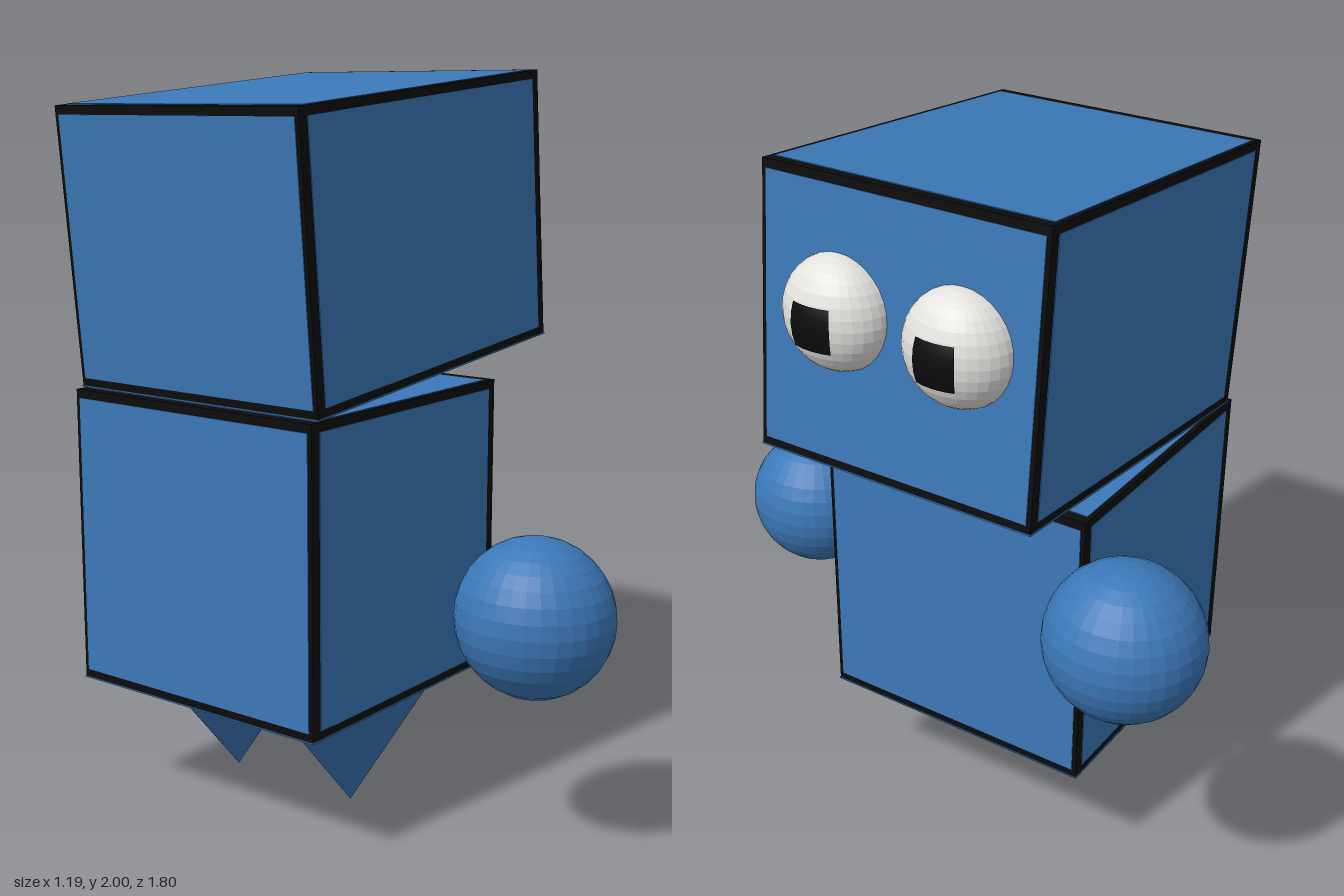
import * as THREE from 'three';

export function createModel() {
  const model = new THREE.Group();
  const paint = (name, color, flat = false) => {
    const m = new THREE.MeshStandardMaterial({ color });
    m.name = name;
    m.flatShading = flat;
    return m;
  };
  const blue = paint('blue', 0x3b78b8, true);
  const black = paint('black', 0x0c0c0c);
  const white = paint('white', 0xe4e2df, true);

  const add = (parent, name, geometry, material, x, y, z) => {
    const mesh = new THREE.Mesh(geometry, material);
    mesh.name = name;
    mesh.position.set(x, y, z);
    parent.add(mesh);
    return mesh;
  };

  // Black block with a thin blue panel on each face, leaving an outlined edge
  function outlinedBox(name, w, h, d) {
    const group = new THREE.Group();
    group.name = name;
    const t = 0.004, ex = 0.032, ey = 0.025, ez = 0.014;
    add(group, name + 'Outline', new THREE.BoxGeometry(w - t, h - t, d - t), black, 0, 0, 0);
    for (const s of [-1, 1]) {
      add(group, name + 'FacePanel', new THREE.BoxGeometry(w - 2 * ex, h - 2 * ey, t), blue, 0, 0, s * (d - t) / 2);
      add(group, name + 'SidePanel', new THREE.BoxGeometry(t, h - 2 * ey, d - 2 * ez), blue, s * (w - t) / 2, 0, 0);
    }
    add(group, name + 'TopPanel', new THREE.BoxGeometry(w - 2 * ex, t, d - 2 * ez), blue, 0, (h - t) / 2, 0);
    // The underside has no outline
    add(group, name + 'BottomPanel', new THREE.BoxGeometry(w, t, d), blue, 0, -(h - t) / 2, 0);
    model.add(group);
    return group;
  }

  // Body and tilted head
  outlinedBox('body', 0.815, 0.815, 0.812).position.set(-0.148, 0.752, -0.1);
  const head = outlinedBox('head', 1.054, 0.748, 0.812);
  head.position.set(-0.039, 1.581, -0.1);
  head.rotation.z = 0.0915;

  // Bulging eyes with pupils on the head's left side
  const ball = new THREE.SphereGeometry(1, 32, 16);
  const step = Math.PI / 16;
  const patch = new THREE.SphereGeometry(1, 4, 4, Math.PI - 2 * step, 4 * step, Math.PI / 2 - 2 * step, 4 * step);
  for (const z of [0.07, -0.283]) {
    add(model, 'eye', ball, white, 0.475, 1.668, z).scale.set(0.118, 0.148, 0.148);
    add(model, 'pupil', patch, black, 0.477, 1.664, z).scale.set(0.12, 0.15, 0.15);
  }

  // Floating round hands
  for (const [x, y, z] of [[-0.147, 0.648, 0.692], [0.376, 0.952, -0.692]]) {
    add(model, 'hand', ball, blue, x, y, z).scale.set(0.198, 0.207, 0.207);
  }

  // Pointed cone feet
  const cone = new THREE.ConeGeometry(1, 1, 32).rotateX(Math.PI);
  for (const z of [0.107, -0.307]) {
    add(model, 'foot', cone, blue, -0.143, 0.172, z).scale.set(0.277, 0.344, 0.2);
  }

  return model;
}
